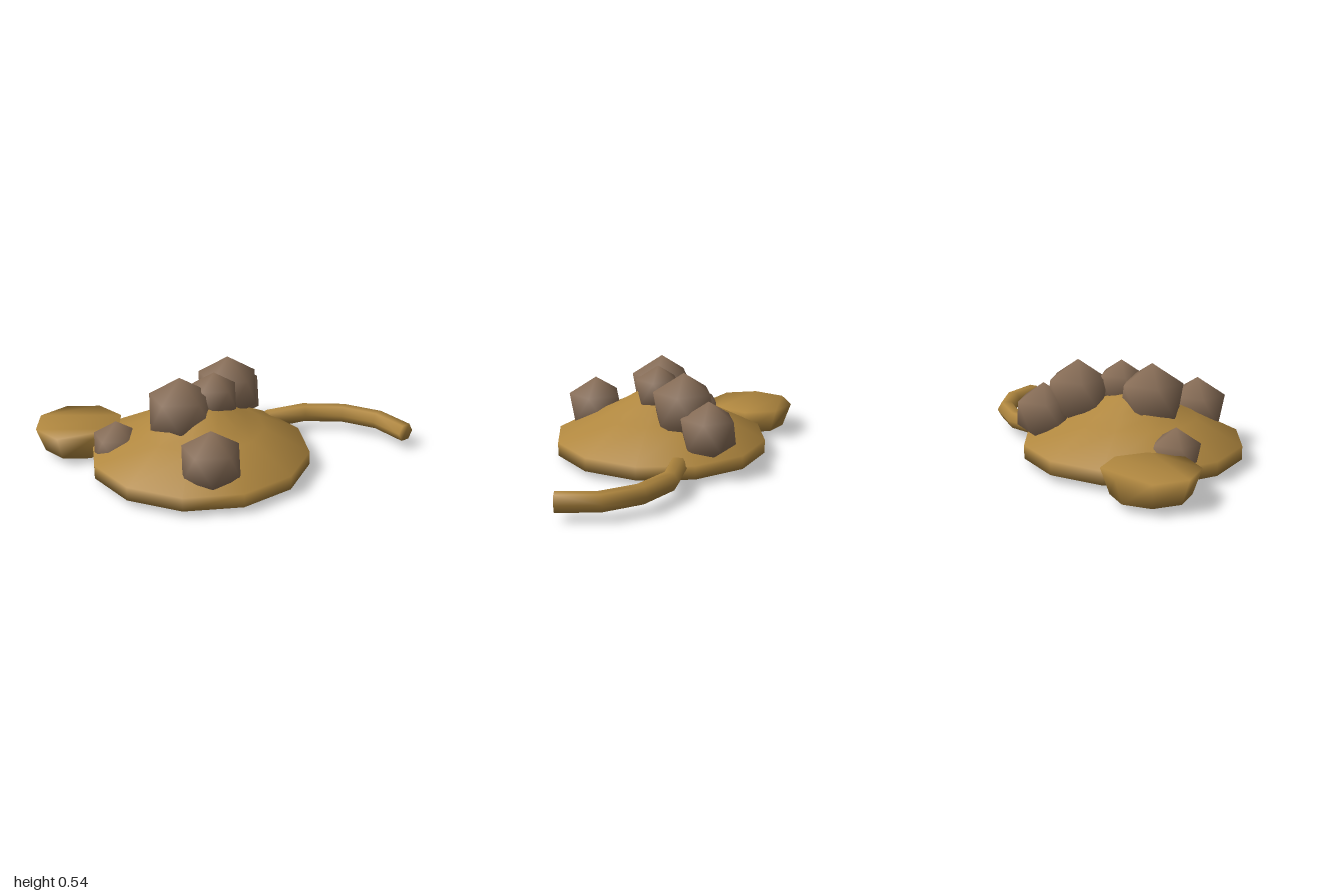
import * as THREE from 'three';

// Closed smooth solid through stacked rings of points, with flat end caps
function loft(rings) {
  const n = rings[0].length, last = (rings.length - 1) * n, idx = [];
  for (let i = 0; i < rings.length - 1; i++) {
    for (let j = 0; j < n; j++) {
      const a = i * n + j, b = i * n + (j + 1) % n;
      idx.push(a, b, b + n, a, b + n, a + n);
    }
  }
  const cap = (base, flip) => {
    const tri = (a, b, c) => idx.push(base + a, base + (flip ? c : b), base + (flip ? b : c));
    for (let lo = 0, hi = n - 1; hi - lo > 1; lo++, hi--) {
      tri(lo, lo + 1, hi);
      if (hi - lo > 2) tri(lo + 1, hi - 1, hi);
    }
  };
  cap(0, true);
  cap(last, false);
  const geo = new THREE.BufferGeometry().setFromPoints(rings.flat());
  geo.setIndex(idx);
  geo.computeVertexNormals();
  return geo;
}

// Horizontal ring with its first corner towards +z
const ring = (n, r, y) => Array.from({ length: n }, (_, j) => {
  const a = (j / n) * Math.PI * 2;
  return new THREE.Vector3(r * Math.sin(a), y, r * Math.cos(a));
});

// Icosahedron standing on a corner, with smooth normals
function boulder() {
  const geo = new THREE.IcosahedronGeometry(1, 0);
  geo.rotateX(-Math.atan((1 + Math.sqrt(5)) / 2));
  geo.rotateY(Math.PI / 2);
  geo.setAttribute('normal', geo.attributes.position.clone());
  return geo;
}

export function createModel() {
  const group = new THREE.Group();
  const ochre = new THREE.MeshStandardMaterial({ color: 0xb0873f });
  ochre.name = 'ochre';
  const brown = new THREE.MeshStandardMaterial({ color: 0x8b7059 });
  brown.name = 'brown';

  const add = (name, geo, mat, x = 0, y = 0, z = 0) => {
    const mesh = new THREE.Mesh(geo, mat);
    mesh.name = name;
    mesh.position.set(x, y, z);
    group.add(mesh);
    return mesh;
  };

  // Broad twelve-sided mound
  const profile = [[0.6, 0.04], [0.6, 0.115], [0.35, 0.242], [0.255, 0.286], [0.13, 0.36], [0.06, 0.372]];
  add('mound', loft(profile.map(([r, y]) => ring(12, r, y))), ochre, -0.2, 0, 0.04);

  // Flaring eight-sided dish at the back corner
  add('dish', loft([ring(8, 0.2, 0.04), ring(8, 0.247, 0.175)]), ochre, -0.753, 0, -0.4);

  // Six-sided arm bending forward on the left
  const path = [[0.305, -0.165], [0.54, -0.17], [0.75, -0.07], [0.89, 0.095], [0.943, 0.31]]
    .map(([x, z]) => new THREE.Vector3(x, 0.104, z));
  const up = new THREE.Vector3(0, 1, 0);
  const armRings = path.map((p, i) => {
    const t = path[Math.min(i + 1, path.length - 1)].clone().sub(path[Math.max(i - 1, 0)]).normalize();
    const side = up.clone().cross(t);
    return Array.from({ length: 6 }, (_, j) => {
      const a = (j / 6) * Math.PI * 2;
      return p.clone().addScaledVector(side, 0.053 * Math.cos(a)).addScaledVector(up, 0.053 * Math.sin(a));
    });
  });
  add('arm', loft(armRings), ochre);

  // Boulders: x, y, z, radius
  const rock = boulder();
  [
    [-0.32, 0.357, 0.06, 0.188],
    [-0.115, 0.397, 0.037, 0.138],
    [0.04, 0.355, -0.14, 0.186],
    [0.145, 0.252, -0.297, 0.168],
    [-0.302, 0.227, 0.45, 0.173],
    [-0.632, 0.146, -0.09, 0.142],
  ].forEach(([x, y, z, r], i) => add(`boulder${i + 1}`, rock, brown, x, y, z).scale.setScalar(r));

  return group;
}
